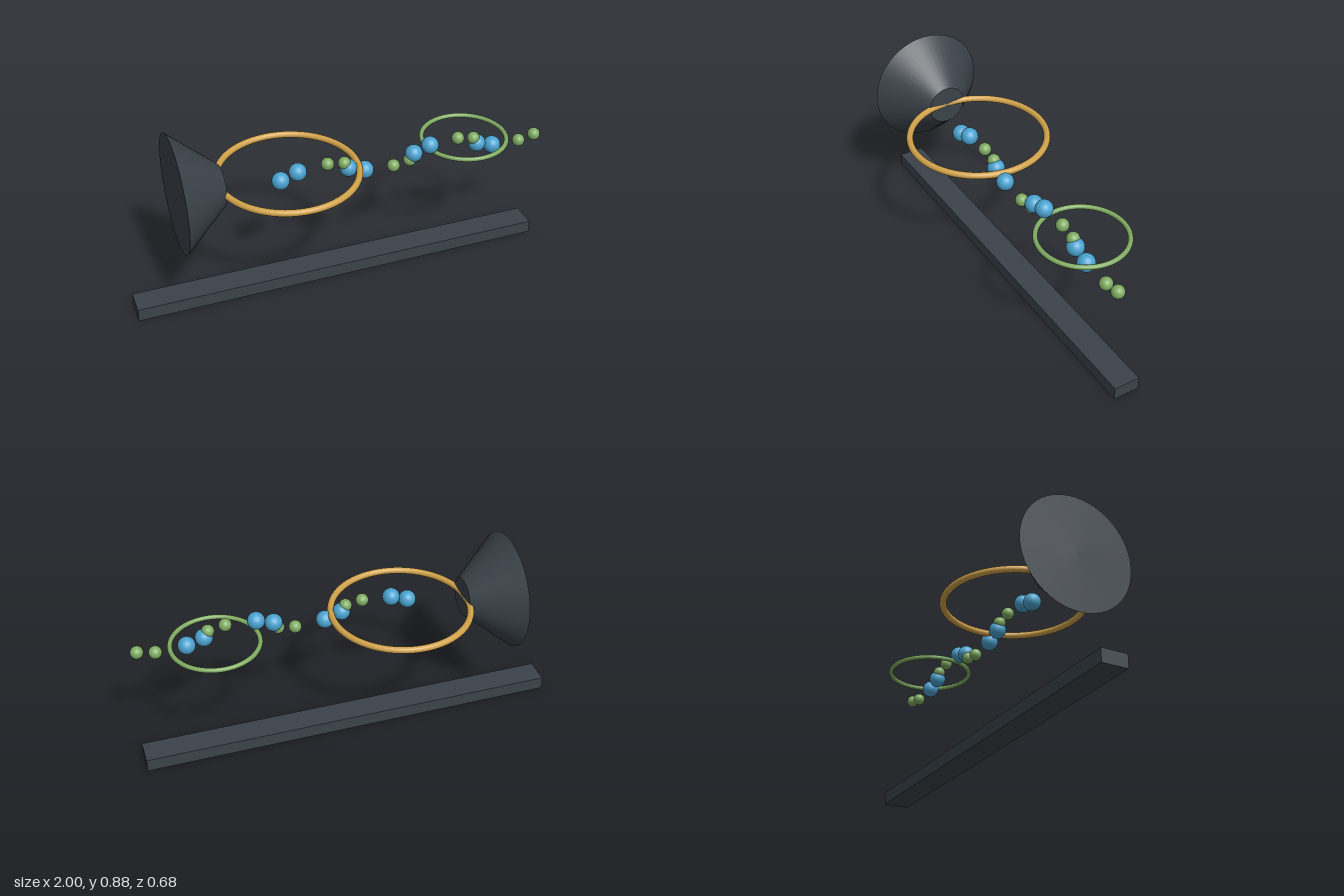
import * as THREE from 'three';

const material = (name, color) => {
  const m = new THREE.MeshStandardMaterial({ color });
  m.name = name;
  return m;
};

export function createModel() {
  const group = new THREE.Group();
  const slate = material('slate', 0x3a4249);
  const gold = material('gold', 0xd0a24a);
  const green = material('green', 0x7fab62);
  const blue = material('blue', 0x4ba3d0);
  const axisY = 0.608;

  const add = (name, geometry, mat, x, y, z) => {
    const mesh = new THREE.Mesh(geometry, mat);
    mesh.name = name;
    mesh.position.set(x, y, z);
    group.add(mesh);
    return mesh;
  };

  // Long base bar
  add('baseBar', new THREE.BoxGeometry(2, 0.063, 0.125), slate, 0, 0.0315, 0);

  // Truncated cone, narrow end towards the rings
  const cone = add('cone', new THREE.CylinderGeometry(0.092, 0.276, 0.215, 48), slate, -0.6625, axisY, 0);
  cone.rotation.z = -Math.PI / 2;

  // Flat-lying rings
  const ring = (name, radius, tube, mat, x) => {
    add(name, new THREE.TorusGeometry(radius, tube, 16, 72), mat, x, axisY, 0).rotation.x = Math.PI / 2;
  };
  ring('largeRing', 0.323, 0.0155, gold, -0.247);
  ring('smallRing', 0.2, 0.011, green, 0.625);

  // Wave of beads: alternating pairs of large blue and small green
  const largeBead = new THREE.SphereGeometry(0.041, 24, 16);
  const smallBead = new THREE.SphereGeometry(0.03, 24, 16);
  for (let i = 0; i < 16; i++) {
    const small = i % 4 >= 2;
    const x = -0.302 + i * 0.0804 + (small ? 0.061 : 0);
    const y = 0.61 + 0.04 * Math.sin(0.8 * i);
    add(small ? 'greenBead' : 'blueBead', small ? smallBead : largeBead, small ? green : blue, x, y, 0.062);
  }

  return group;
}
